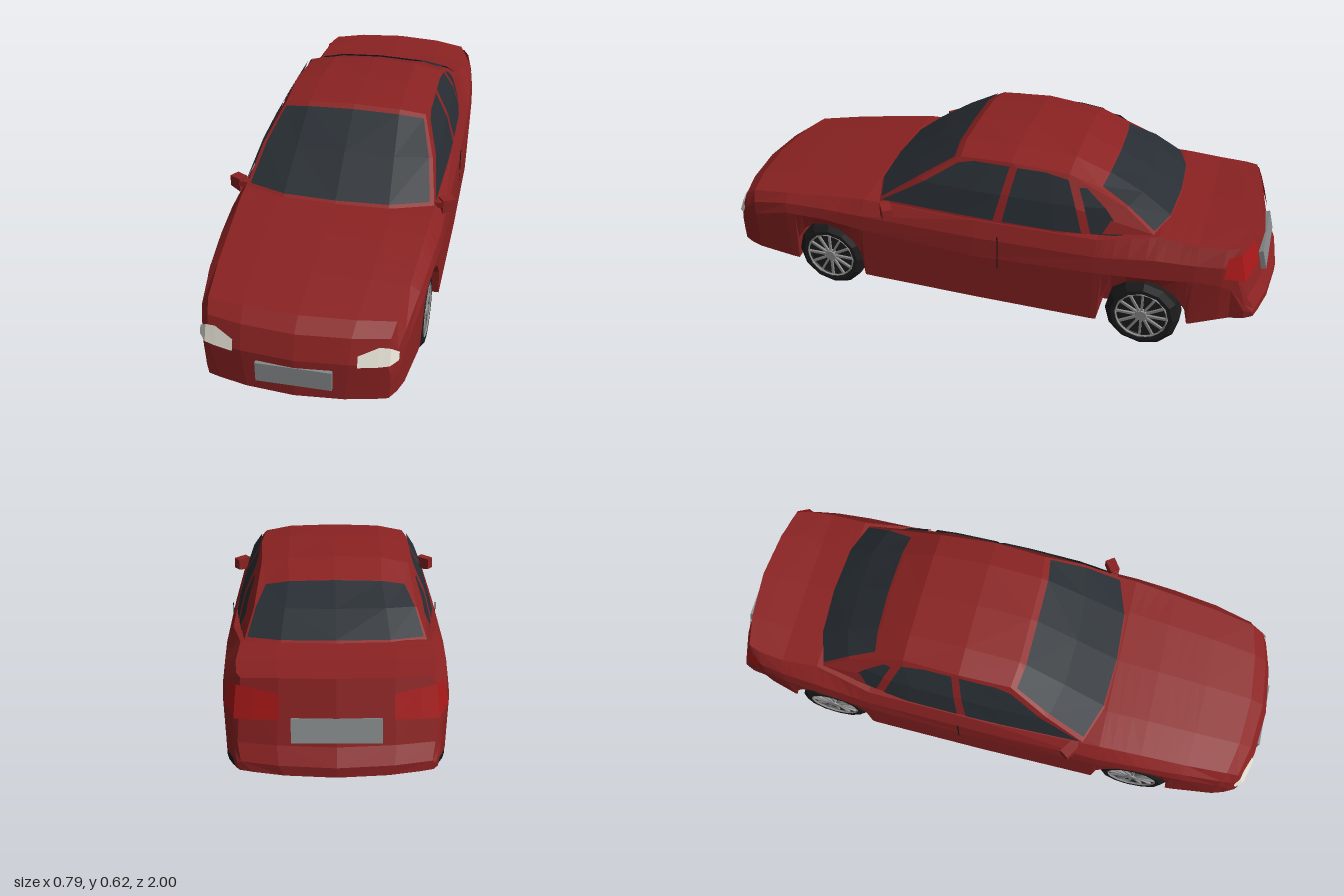
import * as THREE from 'three';

const mat = (color, side = THREE.FrontSide) =>
  new THREE.MeshStandardMaterial({ color, side, flatShading: true });
const paint = mat(0x8b2222);
const glass = mat(0x272d33, THREE.DoubleSide);
const rubber = mat(0x1c1c1c);
const alloy = mat(0x8c8c8c);
const plateGrey = mat(0x85888a);
const lampWhite = mat(0xe6e2d6, THREE.DoubleSide);
const lampRed = mat(0xa81818, THREE.DoubleSide);

const mix = (a, b, t) => a.map((v, i) => v + (b[i] - v) * t);

// Surface through rows of points on the +x side, mirrored to -x
function mirroredSurface(name, patches, material) {
  const pos = [];
  const tri = (a, b, c) => {
    pos.push(...a, ...b, ...c);
    for (const p of [a, c, b]) pos.push(-p[0], p[1], p[2]);
  };
  for (const rows of patches)
    for (let i = 0; i + 1 < rows.length; i++)
      for (let j = 0; j + 1 < rows[i].length; j++) {
        const a = rows[i][j], b = rows[i][j + 1], c = rows[i + 1][j + 1], d = rows[i + 1][j];
        tri(a, d, c);
        tri(a, c, b);
      }
  const g = new THREE.BufferGeometry();
  g.setAttribute('position', new THREE.Float32BufferAttribute(pos, 3));
  g.computeVertexNormals();
  const m = new THREE.Mesh(g, material);
  m.name = name;
  return m;
}

// Body stations: z, floor y, sill x, widest x, y, shoulder x, y, deck edge x, y, centre y, bow
const stations = [
  [1.0, .09, .28, .285, .14, .285, .18, .275, .22, .225, .05],
  [.97, .09, .30, .305, .18, .30, .25, .28, .295, .30, .05],
  [.92, .09, .315, .32, .24, .315, .29, .29, .325, .332, .04],
  [.75, .09, .335, .345, .29, .335, .325, .305, .35, .362, .015],
  [.57, .09, .35, .357, .30, .35, .34, .315, .375, .388, 0],
  [.42, .09, .36, .365, .29, .36, .345, .325, .395, .402, 0],
  [0, .09, .362, .367, .27, .363, .345, .34, .402, .402, 0],
  [-.42, .09, .358, .365, .29, .358, .35, .335, .405, .405, 0],
  [-.62, .11, .345, .354, .30, .345, .37, .295, .432, .438, 0],
  [-.75, .13, .335, .342, .31, .335, .37, .30, .422, .432, 0],
];
const tail = [
  [-.86, .155, .315, .325, .30, .32, .37, .29, .425, .438, -.02],
  [-.92, .16, .30, .31, .28, .305, .36, .275, .428, .44, -.045],
  [-.97, .165, .295, .30, .20, .295, .22, .285, .245, .25, -.05],
  [-1.0, .17, .28, .285, .18, .285, .19, .275, .198, .2, -.055],
];
const keys = [...stations, ...tail];
const arches = [{ z: .57, r: .148 }, { z: -.59, r: .153 }];
const axleY = .128;

function stationAt(z) {
  let i = 0;
  while (i < keys.length - 2 && keys[i + 1][0] > z) i++;
  return mix(keys[i], keys[i + 1], (z - keys[i][0]) / (keys[i + 1][0] - keys[i][0]));
}

// Half cross-section from floor centre, around the wheel well and side, to deck centre
function section(z) {
  const [, yb, xb, xw, yw, xs, ys, xd, yd, yc, bow] = stationAt(z);
  let ya = yb;
  for (const a of arches) {
    const d = Math.abs(z - a.z);
    if (d <= a.r) ya = axleY + Math.sqrt(a.r * a.r - d * d);
  }
  return [[0, yb], [.15, yb], [.24, yb], [.24, ya], [xb, ya],
    [xw, Math.max(yw, ya + .015)], [xs, ys], [xd, yd], [xd * .6, yd + (yc - yd) * .75], [0, yc]]
    .map(([x, y]) => [x, y, z - bow * (x / .3) ** 2]);
}

function makeBody() {
  const zs = keys.map(k => k[0]);
  for (const { z, r } of arches) {
    for (let k = 0; k <= 8; k++) zs.push(z + r * Math.cos(k * Math.PI / 8));
    zs.push(z + r + .001, z - r - .001);
  }
  const rows = [...new Set(zs)].sort((a, b) => b - a).map(section);
  const halves = s => [s.slice(5).reverse(), s.slice(0, 5)];
  return mirroredSurface('body',
    [rows, halves(rows[0]), halves(rows.at(-1)).reverse()], paint);
}

// Cabin rings, each from front centre around the side to rear centre
const rings = [
  [[0, .40, .42], [.18, .40, .41], [.325, .40, .36], [.335, .40, 0],
    [.33, .403, -.3], [.285, .43, -.60], [.17, .434, -.64], [0, .436, -.65]],
  [[0, .51, .255], [.17, .505, .25], [.297, .50, .22], [.305, .50, 0],
    [.30, .50, -.28], [.26, .50, -.50], [.16, .505, -.53], [0, .505, -.535]],
  [[0, .61, .09], [.16, .605, .09], [.25, .59, .08], [.255, .60, -.1],
    [.245, .585, -.3], [.23, .545, -.40], [.15, .56, -.41], [0, .565, -.415]],
  [[0, .61, .09], [.16, .605, .09], [.16, .605, .09], [.16, .617, -.1],
    [.155, .603, -.3], [.15, .56, -.41], [.15, .56, -.41], [0, .565, -.415]],
  [[0, .61, .09], [0, .61, .09], [0, .61, .09], [0, .62, -.1],
    [0, .608, -.3], [0, .565, -.415], [0, .565, -.415], [0, .565, -.415]],
];

// Glass lying just above the cabin's front or rear face
function screen(name, cols, top, inset, dz) {
  const at = (a, b, t) => {
    const [p, q, r] = cols.map(c => mix(rings[a][c], rings[b][c], t));
    return [p, q, mix(q, r, inset)].map(([x, y, z]) => [x, y + .004, z + dz]);
  };
  return mirroredSurface(name, [[at(0, 1, .07), at(0, 1, 1), at(1, 2, top)]], glass);
}

// Side glass: rows of y, front z, rear z
function sideWindow(name, rows) {
  const sideX = (y, z) => {
    const base = y < .5 ? .335 - (y - .4) * .31 : .304 - (y - .5) * .54;
    return base - Math.max(0, z) * .028 + Math.min(0, z) * .017
      - Math.max(0, -.3 - z) * .15 + .007;
  };
  return mirroredSurface(name, [rows.map(([y, z0, z1]) =>
    [0, .33, .67, 1].map(t => z0 + (z1 - z0) * t).map(z => [sideX(y, z), y, z]))], glass);
}

function makeWheel(x, z) {
  const wheel = new THREE.Group();
  wheel.name = 'wheel';
  const profile = [[0, 0], [.118, 0], [.128, .008], [.128, .068], [.108, .084], [.094, .084], [.09, .07], [0, .07]];
  const tyre = new THREE.Mesh(
    new THREE.LatheGeometry(profile.map(p => new THREE.Vector2(...p)), 12), rubber);
  tyre.name = 'tyre';
  wheel.add(tyre);
  const rim = new THREE.Mesh(new THREE.TorusGeometry(.089, .004, 4, 24), alloy);
  rim.name = 'rim';
  rim.rotation.x = Math.PI / 2;
  rim.position.y = .08;
  const hub = new THREE.Mesh(new THREE.CylinderGeometry(.02, .024, .016, 12), alloy);
  hub.name = 'hub';
  hub.position.y = .076;
  wheel.add(rim, hub);
  for (let k = 0; k < 12; k++) {
    const spoke = new THREE.Mesh(new THREE.BoxGeometry(.075, .008, .008).translate(.052, .076, 0), alloy);
    spoke.name = 'spoke';
    spoke.rotation.y = k * Math.PI / 6;
    wheel.add(spoke);
  }
  wheel.rotation.z = -Math.sign(x) * Math.PI / 2;
  wheel.position.set(x, axleY, z);
  return wheel;
}

function box(name, w, h, d, x, y, z, material) {
  const m = new THREE.Mesh(new THREE.BoxGeometry(w, h, d), material);
  m.name = name;
  m.position.set(x, y, z);
  return m;
}

export function createModel() {
  const car = new THREE.Group();
  car.name = 'car';
  car.add(makeBody(), mirroredSurface('cabin', [[...rings].reverse()], paint));
  car.add(screen('windscreen', [0, 1, 2], .88, .9, .004));
  car.add(screen('rearScreen', [7, 6, 5], .95, .93, -.004));
  car.add(sideWindow('frontSideWindow', [[.412, .35, -.06], [.5, .2, -.08], [.575, .085, -.095], [.588, .03, -.098]]));
  car.add(sideWindow('rearSideWindow', [[.412, -.092, -.365], [.5, -.108, -.335], [.575, -.122, -.302], [.587, -.125, -.22]]));
  car.add(sideWindow('quarterWindow', [[.412, -.395, -.505], [.5, -.365, -.435], [.555, -.34, -.365]]));

  // Headlamps: columns of x, low y, high y, extra setback
  const head = [[.19, .218, .252, 0], [.25, .218, .275, 0], [.283, .22, .27, 0], [.306, .226, .25, .016]];
  const headZ = (x, y, s) => 1.006 - .05 * (x / .3) ** 2 - .4 * Math.max(0, y - .22) - s;
  car.add(mirroredSurface('headlamps', [[1, 2].map(k =>
    head.map(c => [c[0], c[k], headZ(c[0], c[k], c[3])]))], lampWhite));

  // Tail lamps wrap around the rear corners
  const tailZ = (x, y) => -.926 - .27 * (.435 - y) + .047 * (x / .3) ** 2;
  const low = [[.165, .325], [.24, .318], [.296, .315]].map(([x, y]) => [x, y, tailZ(x, y)]);
  const high = [[.165, .395], [.24, .405], [.288, .41]].map(([x, y]) => [x, y, tailZ(x, y)]);
  low.push([.328, .335, -.845]);
  high.push([.31, .405, -.85]);
  car.add(mirroredSurface('tailLamps', [[low, high]], lampRed));

  // Number plates, left blank
  car.add(box('frontPlate', .234, .068, .02, 0, .164, .992, plateGrey));
  const rearPlate = box('rearPlate', .26, .07, .02, 0, .295, -.953, plateGrey);
  rearPlate.rotation.x = .26;
  car.add(rearPlate);

  for (const s of [1, -1]) {
    // Door mirror, narrowing outwards
    const g = new THREE.BoxGeometry(.05, .05, .035);
    const p = g.attributes.position;
    for (let i = 0; i < p.count; i++) if (p.getX(i) * s > 0) p.setY(i, p.getY(i) * .8);
    const mirror = new THREE.Mesh(g, paint);
    mirror.name = 'doorMirror';
    mirror.position.set(s * .364, .388, .32);
    mirror.rotation.y = s * .6;
    car.add(mirror, box('mirrorArm', .04, .02, .025, s * .335, .395, .335, paint));
    car.add(box('doorSeam', .003, .13, .004, s * .3655, .30, -.085, rubber));
    for (const a of arches) car.add(makeWheel(s * .258, a.z));
  }
  return car;
}
